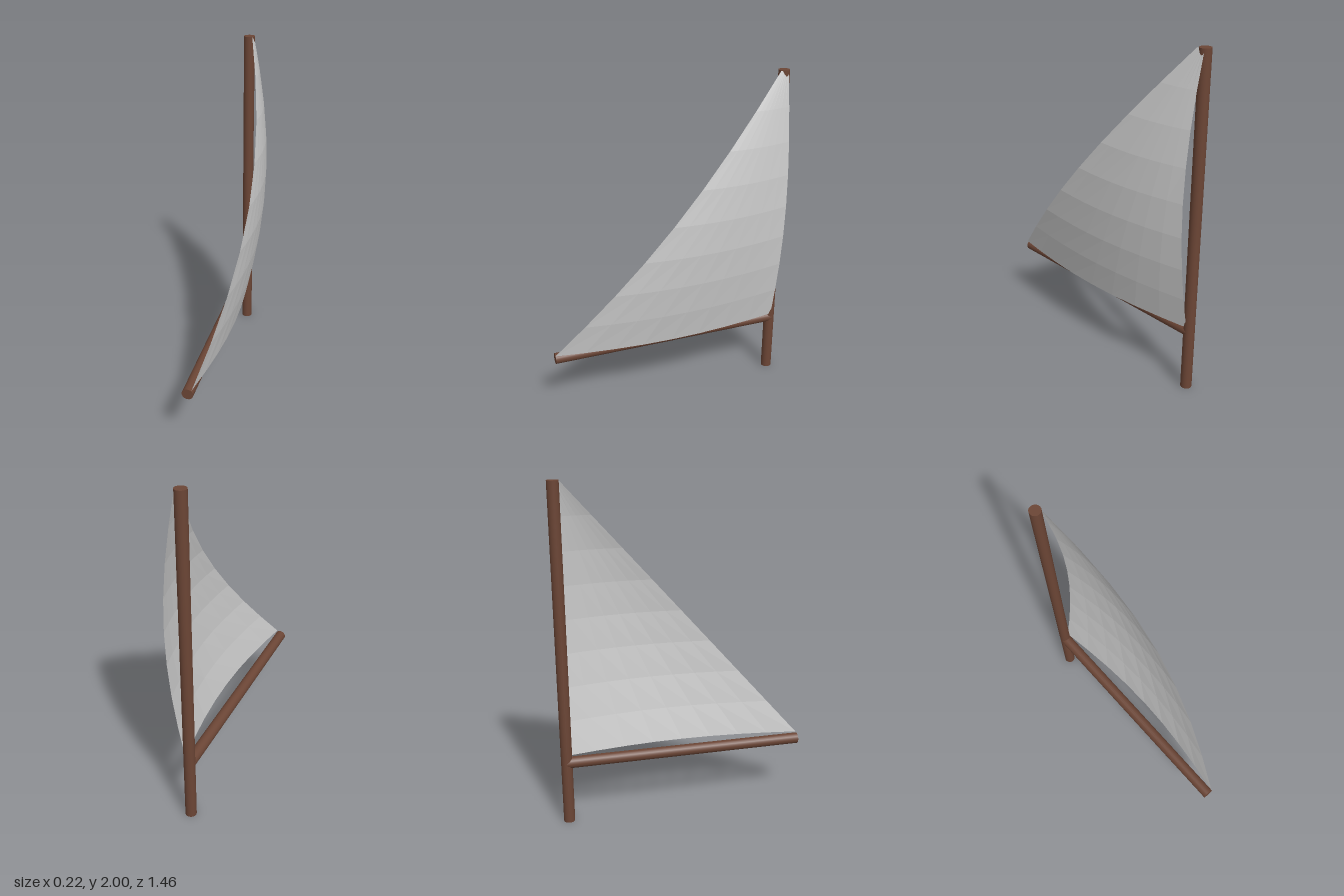
import * as THREE from 'three';

const lerp = THREE.MathUtils.lerp;
const arc = (t) => 0.5 * Math.sin(Math.PI * t) + 2 * t * (1 - t); // 0 at the ends, 1 in the middle

export function createModel() {
  const group = new THREE.Group();
  const wood = new THREE.MeshStandardMaterial({ color: 0x6b4535 });
  const cloth = new THREE.MeshStandardMaterial({
    color: 0xcccccc, flatShading: true, side: THREE.DoubleSide,
  });

  const add = (name, geometry, material) => {
    const mesh = new THREE.Mesh(geometry, material);
    mesh.name = name;
    group.add(mesh);
    return mesh;
  };

  // Upright mast
  add('mast', new THREE.CylinderGeometry(0.033, 0.033, 2, 20), wood)
    .position.set(-0.075, 1, -0.697);

  // Boom running forward from the mast
  const boom = add('boom', new THREE.CylinderGeometry(0.033, 0.034, 1.43, 20), wood);
  boom.rotation.x = Math.PI / 2;
  boom.position.set(-0.075, 0.379, 0.015);

  // Triangular sail, billowing to +x; u runs mast to free edge, v runs boom to head
  const sail = new THREE.PlaneGeometry(1, 1, 8, 8);
  const p = sail.attributes.position;
  for (let i = 0; i < p.count; i++) {
    const u = 0.5 - p.getX(i);
    const v = p.getY(i) + 0.5;
    const mastEdge = 0.093 * arc(v);
    const freeEdge = 0.15 * arc(v);
    const belly = 0.067 * arc(u) * (1 - v);
    p.setXYZ(
      i,
      -0.05 + lerp(mastEdge, freeEdge, u) + belly,
      lerp(0.41, 1.998, v),
      lerp(lerp(-0.695, -0.712, v), lerp(0.732, -0.665, v), u),
    );
  }
  sail.computeVertexNormals();
  add('sail', sail, cloth);

  return group;
}
